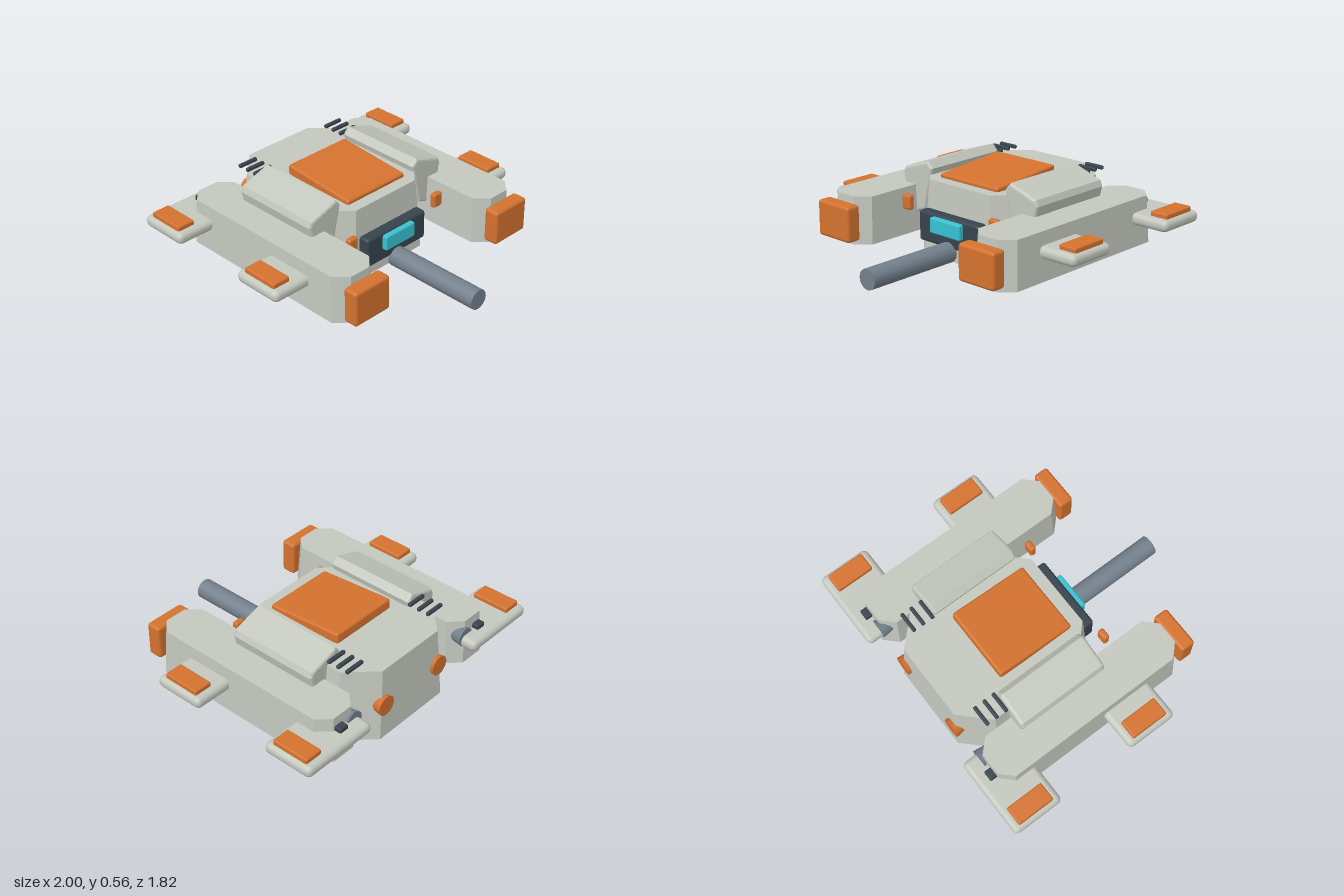
import * as THREE from 'three';
import { RoundedBoxGeometry } from 'three/addons/geometries/RoundedBoxGeometry.js';

const paint = (name, color) => {
  const m = new THREE.MeshStandardMaterial({ color });
  m.name = name;
  return m;
};

// Chamfered rectangle outline, counter-clockwise seen from above
const octagon = ([hx, hz, c], y) => [
  [hx, hz - c], [hx, c - hz], [hx - c, -hz], [c - hx, -hz],
  [-hx, c - hz], [-hx, hz - c], [c - hx, hz], [hx - c, hz],
].map(([x, z]) => new THREE.Vector3(x, y, z));

// Tapered eight-sided hull between two outlines, flat faced
function hullGeometry(bottom, top, y0, y1) {
  const b = octagon(bottom, y0), t = octagon(top, y1), pos = [];
  const tri = (...pts) => pts.forEach((p) => pos.push(p.x, p.y, p.z));
  for (let i = 0; i < 8; i++) {
    const j = (i + 1) % 8;
    tri(b[i], b[j], t[j]);
    tri(b[i], t[j], t[i]);
    if (i > 0 && i < 7) {
      tri(t[0], t[i], t[j]);
      tri(b[0], b[j], b[i]);
    }
  }
  const g = new THREE.BufferGeometry();
  g.setAttribute('position', new THREE.Float32BufferAttribute(pos, 3));
  g.computeVertexNormals();
  return g;
}

export function createModel() {
  const grey = paint('light grey hull', 0xc3c7bd);
  const orange = paint('orange', 0xd4722f);
  const dark = paint('dark charcoal', 0x38434d);
  const slate = paint('slate metal', 0x73808c);
  const cyan = paint('cyan glass', 0x38c2d2);
  const model = new THREE.Group();

  const add = (name, geo, mat, x, y, z) => {
    const m = new THREE.Mesh(geo, mat);
    m.name = name;
    m.position.set(x, y, z);
    model.add(m);
    return m;
  };
  const box = (name, mat, [w, h, d], [x, y, z], r = 0.015) =>
    add(name, new RoundedBoxGeometry(w, h, d, 2, r), mat, x, y, z);
  const tube = (name, mat, rFront, rBack, len, [x, y, z], sides) =>
    add(name, new THREE.CylinderGeometry(rFront, rBack, len, sides).rotateX(Math.PI / 2), mat, x, y, z);

  // Central hull and sloping hatch
  add('centralHull', hullGeometry([0.47, 0.502, 0.187], [0.42, 0.475, 0.17], 0, 0.475), grey, 0, 0, -0.317);
  box('topHatch', orange, [0.48, 0.07, 0.525], [0, 0.487, -0.182]).rotation.x = 0.08;

  // Sensor panel and barrel at the front
  box('sensorPanel', dark, [0.5, 0.195, 0.08], [0, 0.208, 0.215], 0.02);
  box('sensorWindow', cyan, [0.25, 0.1, 0.06], [0, 0.24, 0.258], 0.012);
  tube('barrel', slate, 0.065, 0.065, 0.665, [0, 0.088, 0.578], 16);

  // Shoulder pad cross-section, extruded from back to front
  const padShape = new THREE.Shape([
    [0.325, 0.508], [0.35, 0.535], [0.53, 0.475], [0.54, 0.45], [0.49, 0.23], [0.45, 0.225], [0.385, 0.25],
  ].map(([x, y]) => new THREE.Vector2(x, y)).reverse());
  const mirrorPad = new THREE.Shape(padShape.getPoints().map((p) => new THREE.Vector2(-p.x, p.y)).reverse());

  for (const s of [1, -1]) {
    const pad = new THREE.ExtrudeGeometry(s > 0 ? padShape : mirrorPad, {
      depth: 0.573, bevelSize: 0.018, bevelThickness: 0.02, bevelSegments: 3,
    });
    add('shoulderPad', pad, grey, 0, 0, -0.505);

    // Side pod with its front block
    add('sidePod', hullGeometry([0.165, 0.682, 0.08], [0.15, 0.665, 0.078], 0.09, 0.39), grey, s * 0.595, 0, -0.127);
    box('podFrontBlock', orange, [0.275, 0.228, 0.1], [s * 0.597, 0.24, 0.595], 0.02);
    box('markerLight', orange, [0.073, 0.096, 0.042], [s * 0.363, 0.326, 0.235]);

    // Front and rear side fins with raised panels
    for (const z of [0.107, -0.741]) {
      box('sideFin', grey, [0.53, 0.076, 0.342], [s * 0.735, 0.268, z], 0.035);
      box('finPanel', orange, [0.122, 0.045, 0.25], [s * 0.91, 0.313, z], 0.01);
    }

    // Vent bars on the hull shoulders
    for (let i = 0; i < 3; i++) {
      box('ventBar', dark, [0.138, 0.024, 0.024], [s * 0.362, 0.51, -0.542 - i * 0.067], 0.008);
    }

    // Rear nozzles, latches and round tail lights
    tube('podNozzle', slate, 0.045, 0.062, 0.12, [s * 0.512, 0.288, -0.753], 12);
    box('rearLatch', dark, [0.066, 0.036, 0.09], [s * 0.63, 0.316, -0.795], 0.008);
    tube('tailLight', orange, 0.055, 0.066, 0.08, [s * 0.245, 0.235, -0.787], 12);
  }
  return model;
}
